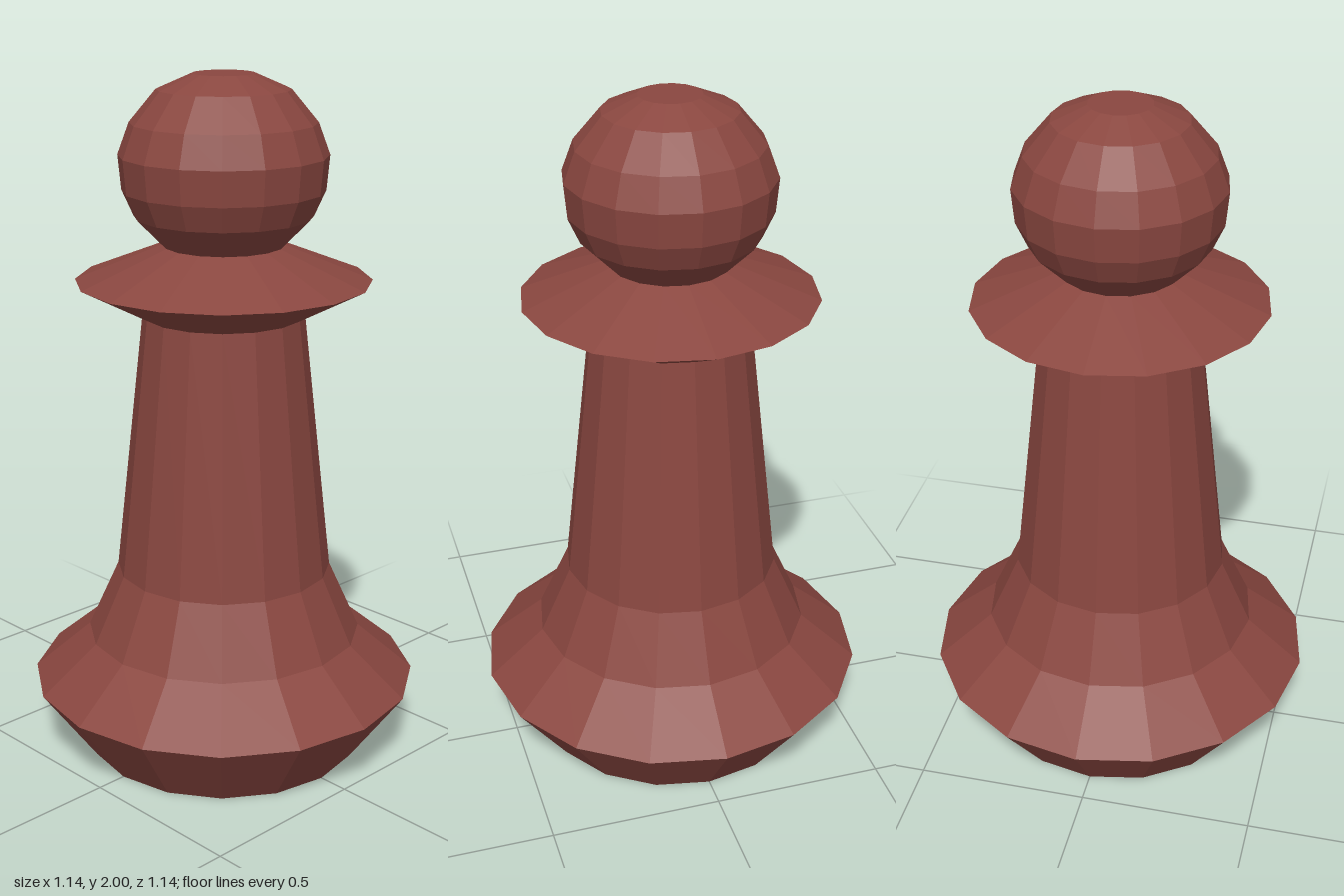
import * as THREE from 'three';

const SIDES = 16;

export function createModel() {
  const group = new THREE.Group();
  group.name = 'pawn';
  const wood = new THREE.MeshStandardMaterial({ color: 0x8a4740, flatShading: true });
  wood.name = 'reddish brown';

  // Turned part from [radius, height] pairs, bottom to top
  function turned(name, profile) {
    const points = profile.map(([r, y]) => new THREE.Vector2(r, y));
    const mesh = new THREE.Mesh(new THREE.LatheGeometry(points, SIDES), wood);
    mesh.name = name;
    group.add(mesh);
  }

  // Flared foot with closed underside
  turned('base', [[0, 0], [0.41, 0], [0.57, 0.22], [0.405, 0.36]]);
  // Tapering stem
  turned('stem', [[0.405, 0.36], [0.315, 0.56], [0.232, 1.325]]);
  // Sharp-edged ring under the head
  turned('collar', [[0.232, 1.325], [0.422, 1.425], [0.172, 1.525]]);
  // Faceted ball with a small flat top
  turned('head', [
    [0.172, 1.525], [0.253, 1.607], [0.286, 1.68], [0.295, 1.778],
    [0.262, 1.867], [0.187, 1.957], [0.088, 2], [0, 2],
  ]);

  return group;
}
